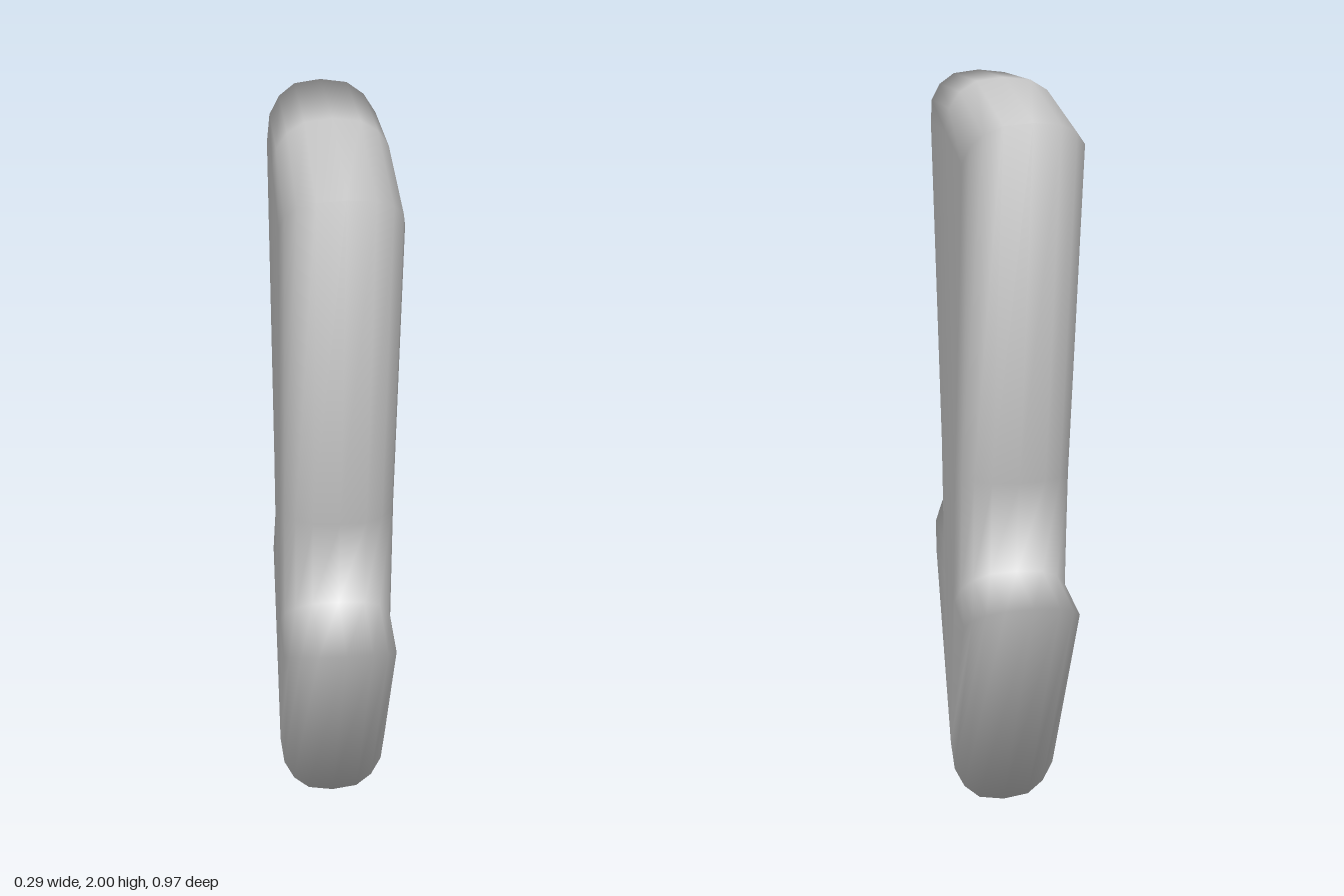
import * as THREE from 'three';

// Half outline from tip to top: [z, y] at mid thickness, then [z, y] where the flat side begins
const half = [
  [0, 0, 0, 0.185],           // point
  [0.483, 0.77, 0.28, 0.645], // barb
  [0.225, 0.77, 0.105, 0.645],// notch
  [0.258, 1.02, 0.135, 1.02], // shaft bend
  [0.44, 1.958, 0.3, 1.84],   // top corner
  [0, 2, 0, 1.87],            // top ridge
];
// Rounded edge: [x, share of the way from flat side to outline]
const quarter = [[0.147, 0], [0.137, 0.44], [0.11, 0.74], [0.068, 0.94]];

export function createModel() {
  const mirrored = half.slice(1, -1).reverse().map(([z, y, iz, iy]) => [-z, y, -iz, iy]);
  const outline = [...half, ...mirrored];
  const profile = [
    ...quarter.map(([x, t]) => [-x, t]),
    [0, 1],
    ...[...quarter].reverse(),
  ];
  const n = outline.length;
  const positions = [];
  const index = [];

  // One ring of the outline per profile step
  for (const [x, t] of profile) {
    for (const [z, y, iz, iy] of outline) {
      positions.push(x, iy + (y - iy) * t, iz + (z - iz) * t);
    }
  }

  // Rounded rim
  for (let k = 0; k < profile.length - 1; k++) {
    for (let i = 0; i < n; i++) {
      const j = (i + 1) % n;
      const a = k * n + i, b = k * n + j, c = b + n, d = a + n;
      index.push(a, c, b, a, d, c);
    }
  }

  // Flat sides
  const last = (profile.length - 1) * n;
  const inner = outline.map(([, , iz, iy]) => new THREE.Vector2(iz, iy));
  for (const [a, b, c] of THREE.ShapeUtils.triangulateShape(inner, [])) {
    index.push(a, b, c, last + a, last + c, last + b);
  }

  const geometry = new THREE.BufferGeometry();
  geometry.setAttribute('position', new THREE.Float32BufferAttribute(positions, 3));
  geometry.setIndex(index);
  geometry.computeVertexNormals();

  const arrow = new THREE.Mesh(geometry, new THREE.MeshStandardMaterial({ color: 0xcccccc }));
  arrow.name = 'downArrow';
  const group = new THREE.Group();
  group.name = 'arrowMarker';
  group.add(arrow);
  return group;
}
